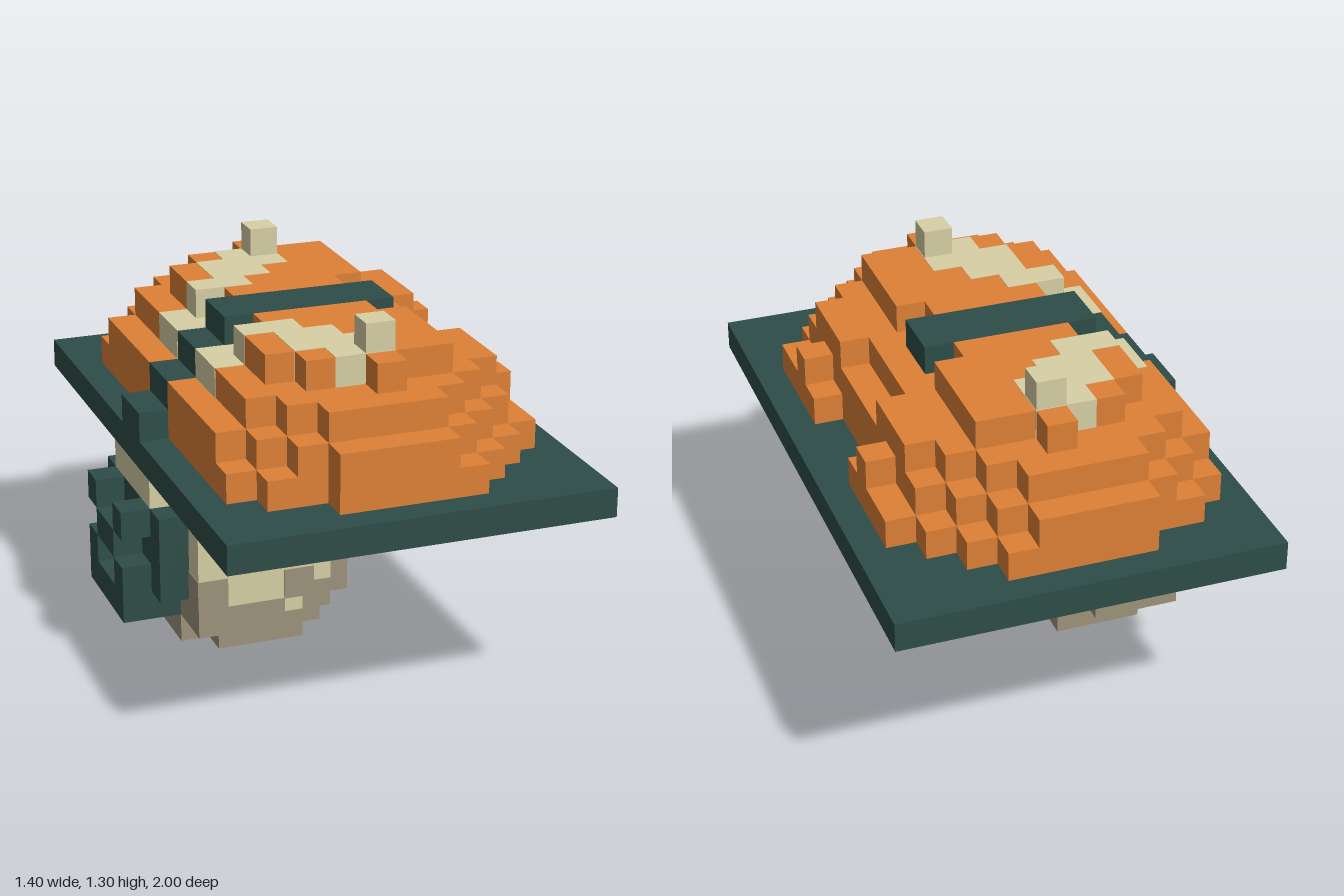
import * as THREE from 'three';
import { mergeGeometries } from 'three/addons/utils/BufferGeometryUtils.js';

const mat = (name, color) => {
  const m = new THREE.MeshStandardMaterial({ color });
  m.name = name;
  return m;
};

// Block from its limits in tenths of a unit; grow lets a painted block cover its neighbours
function block([x0, x1, y0, y1, z0, z1], grow = 0) {
  const g = new THREE.BoxGeometry((x1 - x0) / 10 + grow, (y1 - y0) / 10 + grow, (z1 - z0) / 10 + grow);
  g.translate((x0 + x1) / 20, (y0 + y1) / 20, (z0 + z1) / 20);
  return g;
}

// Blocks that touch z = 0 span both sides, the others are repeated at -z
function mirrored(list) {
  return list.flatMap(([x0, x1, y0, y1, z0, z1]) => z0 === 0
    ? [[x0, x1, y0, y1, -z1, z1]]
    : [[x0, x1, y0, y1, z0, z1], [x0, x1, y0, y1, -z1, -z0]]);
}

function part(name, material, list, grow = 0) {
  const mesh = new THREE.Mesh(mergeGeometries(mirrored(list).map(b => block(b, grow))), material);
  mesh.name = name;
  return mesh;
}

export function createModel() {
  const orange = mat('orange', 0xde8136);
  const brown = mat('red brown', 0x904f31);
  const teal = mat('dark teal', 0x2e4d48);
  const beige = mat('beige', 0xd7cfa4);
  const taupe = mat('taupe', 0x9d947b);
  const model = new THREE.Group();
  model.name = 'voxelModel';

  // Flat plate
  model.add(part('plate', teal, [[-6, 7, 7, 8, 0, 10]]));

  // Twin stepped domes, each row: x0, x1, y0, y1, z0, z1
  model.add(part('domes', orange, [
    [-5, 5, 8, 9, 0, 2], [-5, 6, 8, 9, 2, 6], [-5, 5, 8, 9, 6, 7], [-4, 4, 8, 9, 7, 8], [-2, 3, 8, 9, 8, 9],
    [-4, 5, 9, 10, 0, 1], [-5, 5, 9, 10, 1, 6], [-4, 4, 9, 10, 6, 7], [-3, 3, 9, 10, 7, 8], [-2, 2, 9, 10, 8, 9],
    [5, 6, 9, 10, 3, 4],
    [-3, 4, 10, 11, 0, 1], [-4, 4, 10, 11, 1, 2], [-4, 5, 10, 11, 2, 5], [-4, 4, 10, 11, 5, 6],
    [-3, 3, 10, 11, 6, 7], [-2, 2, 10, 11, 7, 8],
    [-2, 2, 11, 12, 1, 2], [-3, 3, 11, 12, 2, 5], [-2, 3, 11, 12, 5, 6], [0, 1, 11, 12, 6, 7],
  ]));

  // Dome undersides showing through the plate
  model.add(part('domeUndersides', brown, [
    [-5, 5, 6.99, 7, 1, 2], [-5, 6, 6.99, 7, 2, 6], [-5, 5, 6.99, 7, 6, 7],
    [-4, 4, 6.99, 7, 7, 8], [-2, 3, 6.99, 7, 8, 9],
  ]));

  // Pale streaks over the domes, and the pegs on top
  model.add(part('streaks', beige, [
    [-4, -2, 10, 11, 1, 2], [-4, -3, 10, 11, 2, 3], [-3, -1, 11, 12, 2, 3],
    [-2, 0, 11, 12, 3, 4], [-2, 1, 11, 12, 4, 5], [-1, 1, 11, 12, 5, 6],
  ], 0.004));
  model.add(part('pegs', beige, [[0, 1, 12, 13, 5, 6]]));

  // Strap stepping down the far side of the domes
  model.add(part('strap', teal, [
    [-3, 3, 11, 12, 0, 1], [-4, -3, 10, 11, 0, 1], [-5, -4, 9, 10, 0, 1], [-6, -5, 8, 9, 0, 1],
  ]));

  // Buckle on the side of the stem
  model.add(part('buckle', teal, [
    [-6, -5, 3, 6, 2, 3], [-6, -5, 2, 6, 0, 2],
    [-7, -6, 5, 6, 1, 2], [-7, -6, 4, 5, 0, 1], [-7, -6, 3, 4, 1, 2], [-7, -6, 2, 3, 0, 2],
  ]));

  // Stem
  model.add(part('stem', beige, [
    [-6, 1, 6, 7, 0, 2], [-5, 0, 6, 7, 2, 3], [-4, -1, 6, 7, 3, 4],
    [-5, 1, 3, 6, 0, 2], [-5, 0, 3, 6, 2, 3], [-5, -1, 3, 6, 3, 4],
    [-2, -1, 2, 3, 2, 3],
  ]));

  // Darker foot of the stem
  model.add(part('foot', taupe, [
    [-5, 1, 2, 3, 0, 2], [-5, -2, 2, 3, 2, 4], [-1, 0, 2, 3, 2, 3],
    [-5, 0, 1, 2, 0, 2], [-4, -1, 1, 2, 2, 3],
    [-3, -2, 0, 1, 0, 1],
  ]));
  model.add(part('footTeeth', taupe, [
    [-5, -4, 3, 4, 3, 4], [-2, -1, 3, 4, 3, 4], [0, 1, 3, 4, 1, 2],
  ], 0.004));

  return model;
}
